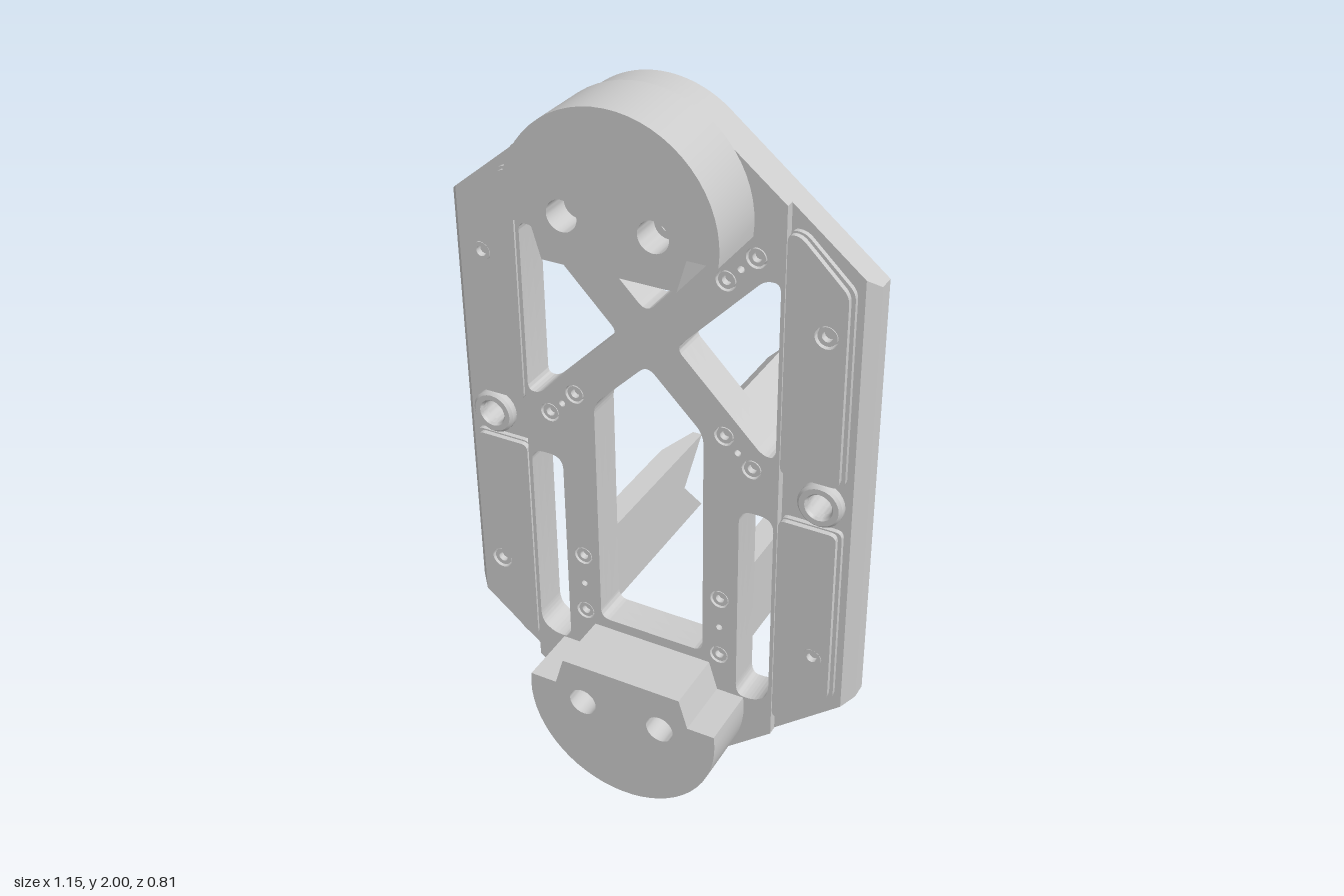
import * as THREE from 'three';
import { toCreasedNormals } from 'three/addons/utils/BufferGeometryUtils.js';

const grey = new THREE.MeshStandardMaterial({ color: 0xcccccc });
const V = (x, y, z) => new THREE.Vector3(x, y, z);
const BACK = 0.13, MID = 0.175, LEDGE = 0.205, FACE = 0.23, CAP = 0.405;

// Closed outline with every corner rounded by up to r
function rounded(points, r, Type = THREE.Shape) {
  const out = new Type(), p = points.map(([x, y]) => new THREE.Vector2(x, y)), n = p.length;
  p.forEach((c, i) => {
    const towards = (q) => {
      const d = q.clone().sub(c);
      return c.clone().add(d.clone().setLength(Math.min(r, d.length() * 0.45)));
    };
    const a = towards(p[(i + n - 1) % n]), b = towards(p[(i + 1) % n]);
    if (i) out.lineTo(a.x, a.y); else out.moveTo(a.x, a.y);
    out.quadraticCurveTo(c.x, c.y, b.x, b.y);
  });
  out.closePath();
  return out;
}
const polygon = (pts) => new THREE.Shape(pts.map(([x, y]) => new THREE.Vector2(x, y)));
const circle = (x, y, r) => new THREE.Path().absarc(x, y, r, 0, Math.PI * 2, true);
const flip = (pts) => pts.map(([x, y]) => [-x, y]);

function extrude(shape, z0, z1, name, warp) {
  const geo = new THREE.ExtrudeGeometry(shape, { depth: z1 - z0, bevelEnabled: false, curveSegments: 16 });
  geo.translate(0, 0, z0);
  if (warp) {
    const pos = geo.attributes.position;
    for (let i = 0; i < pos.count; i++) {
      const v = V().fromBufferAttribute(pos, i);
      warp(v);
      pos.setXYZ(i, v.x, v.y, v.z);
    }
    geo.computeVertexNormals();
  }
  const mesh = new THREE.Mesh(toCreasedNormals(geo, 0.5), grey);
  mesh.name = name;
  return mesh;
}

// Turned part whose axis points forward
function turned(profile, x, y, z, name) {
  const geo = new THREE.LatheGeometry(profile.map(([r, h]) => new THREE.Vector2(r, h)), 24);
  geo.rotateX(Math.PI / 2);
  const mesh = new THREE.Mesh(toCreasedNormals(geo, 0.5), grey);
  mesh.position.set(x, y, z);
  mesh.name = name;
  return mesh;
}
const screw = (x, y, z, r, h, name = 'screw') =>
  turned([[r, 0], [r, h], [r * 0.55, h], [r * 0.55, h * 0.2], [0, h * 0.2]], x, y, z, name);

// Outline of the plate, cut off at the given half width
function plateOutline(w, sideY) {
  const s = new THREE.Shape(), a = 0.885, r = 0.27, cy = 1.72;
  s.moveTo(w, 2 - sideY);
  s.lineTo(w, sideY);
  s.absarc(0, cy, r, a, Math.PI - a, false);
  s.lineTo(-w, sideY);
  s.lineTo(-w, 2 - sideY);
  s.absarc(0, 2 - cy, r, Math.PI + a, 2 * Math.PI - a, false);
  s.closePath();
  return s;
}

function windows() {
  const upperSide = [[0.35, 1.58], [0.31, 1.58], [0.08, 1.343], [0.315, 1.105], [0.35, 1.105]];
  const slot = [[0.35, 0.925], [0.255, 0.925], [0.255, 0.32], [0.31, 0.32], [0.35, 0.35]];
  const make = (pts, r) => rounded(pts, r, THREE.Path);
  return [
    make([[-0.155, 0.43], [0.155, 0.43], [0.155, 1.117], [0, 1.272], [-0.155, 1.117]], 0.03),
    make([[-0.118, 1.58], [0.118, 1.58], [0.118, 1.54], [0, 1.42], [-0.118, 1.54]], 0.03),
    ...[upperSide, flip(upperSide)].map((p) => make(p, 0.025)),
    ...[slot, flip(slot)].map((p) => make(p, 0.04)),
  ];
}

// Turns a profile of (along dir, away from the plate's back) into a part behind the plate
function behind(mesh, dir, x, y) {
  const back = V(0, 0, -1);
  mesh.applyMatrix4(new THREE.Matrix4().makeBasis(dir, back, dir.clone().cross(back)));
  mesh.position.set(x, y, BACK);
  return mesh;
}

function jawProfile() {
  const s = new THREE.Shape(), r = 0.03;
  s.moveTo(-0.1, 0);
  s.lineTo(0.1, 0);
  s.lineTo(0.1, 0.112 - r);
  s.quadraticCurveTo(0.1, 0.112, 0.1 - r, 0.112);
  s.lineTo(-0.003, 0.112);
  s.lineTo(-0.003, 0.198 - r);
  s.quadraticCurveTo(-0.003, 0.198, -0.003 - r, 0.198);
  s.lineTo(-0.04, 0.198);
  s.lineTo(-0.04, 0.27);
  s.lineTo(-0.1, 0.27);
  s.closePath();
  return s;
}

export function createModel() {
  const model = new THREE.Group();
  const sides = [1, -1];

  // Base plate: square lower layer, then a layer with chamfered long sides
  for (const [z0, z1, name] of [[BACK, MID, 'basePlate'], [MID, LEDGE, 'chamferedPlate']]) {
    const shape = plateOutline(0.573, 1.602);
    shape.holes.push(...windows(), ...sides.map((s) => circle(s * 0.467, 1, 0.033)));
    model.add(extrude(shape, z0, z1, name, (v) => {
      if (z1 === LEDGE && v.z > LEDGE - 0.001 && Math.abs(v.x) > 0.57) {
        v.x = Math.sign(v.x) * 0.545;
        v.y += Math.sign(v.y - 1) * 0.023;
      }
    }));
  }

  // Raised centre frame with countersunk screws and pin holes
  const frame = plateOutline(0.36, 1.777);
  frame.holes.push(...windows());
  for (const s of sides) {
    for (const [x, y] of [[0.287, 1.632], [0.211, 1.556], [0.287, 1.055], [0.211, 1.13], [0.204, 0.623], [0.204, 0.437]]) {
      frame.holes.push(circle(s * x, y, 0.027));
      model.add(screw(s * x, y, LEDGE, 0.022, 0.022));
    }
    for (const [x, y] of [[0.249, 1.594], [0.249, 1.092], [0.204, 0.53]]) frame.holes.push(circle(s * x, y, 0.009));
  }
  model.add(extrude(frame, LEDGE, FACE, 'centreFrame'));

  // Side rails, in two halves around a bushing
  for (const s of sides) {
    for (const up of sides) {
      const at = (y) => 1 + up * y;
      const pts = [[0.363, at(0.07)], [0.517, at(0.07)], [0.517, at(0.59)], [0.395, at(0.71)], [0.363, at(0.71)]];
      const foot = [[0.363, at(0.066)], [0.527, at(0.066)], [0.527, at(0.594)], [0.4, at(0.715)], [0.363, at(0.715)]];
      const y = at(0.473);
      for (const [p, z0, z1, name] of [[foot, LEDGE, 0.218, 'railFoot'], [pts, 0.218, 0.232, 'sideRail']]) {
        const rail = rounded(s > 0 ? p : flip(p), 0.02);
        rail.holes.push(circle(s * 0.467, y, 0.03));
        model.add(extrude(rail, z0, z1, name));
      }
      model.add(screw(s * 0.467, y, LEDGE, 0.025, 0.022, 'railScrew'));
    }
    model.add(turned([[0.06, 0], [0.06, 0.018], [0.053, 0.025], [0.038, 0.025], [0.033, 0.018], [0.033, 0]],
      s * 0.467, 1, LEDGE, 'bushing'));
  }

  // Round end caps, the lower one turned half round
  for (const up of sides) {
    const cap = new THREE.Group();
    const shape = new THREE.Shape();
    shape.absarc(0, 1.72, 0.28, -0.13, Math.PI + 0.13, false);
    for (const [x, y] of [[-0.2, 1.684], [-0.175, 1.6], [0.175, 1.6], [0.2, 1.684]]) shape.lineTo(x, y);
    shape.closePath();
    for (const s of sides) {
      shape.holes.push(circle(s * 0.117, 1.722, 0.04));
      cap.add(screw(s * 0.117, 1.722, FACE, 0.038, 0.1, 'capScrew'));
    }
    cap.add(extrude(shape, FACE, CAP, 'capBody'));
    cap.name = up > 0 ? 'topCap' : 'bottomCap';
    if (up < 0) {
      cap.rotation.z = Math.PI;
      cap.position.y = 2;
    }
    model.add(cap);
  }

  // Four stepped jaws on the diagonal arms
  for (const s of sides) {
    for (const up of sides) {
      const jaw = extrude(jawProfile(), -0.033, 0.033, 'steppedJaw');
      model.add(behind(jaw, V(s, up, 0).normalize(), s * 0.249, 1.345 + up * 0.248));
    }
  }

  // Two notched support blades, the right one longer with a bevelled tip
  const T = 0.033, H = 0.125, along = V(0, 1, 0);
  const shortBlade = polygon([[-H, 0], [H, 0], [H, 0.445], [0.115, 0.445], [0, 0.333], [-0.115, 0.445], [-H, 0.445]]);
  model.add(behind(extrude(shortBlade, -T, T, 'leftBlade'), along, 0.201, 0.53));
  const longBlade = polygon([[-H, 0], [H, 0], [H, 0.405], [-H, 0.405]]);
  model.add(behind(extrude(longBlade, -T, T, 'rightBlade'), along, -0.205, 0.53));
  const tip = polygon([[-H, 0.405], [H, 0.405], [H, 0.535], [0, 0.425], [-H, 0.535]]);
  model.add(behind(extrude(tip, -T, T, 'rightBladeTip', (v) => {
    if (v.z > 0) v.z -= (v.y - 0.405) * 0.29;
  }), along, -0.205, 0.53));

  return model;
}
